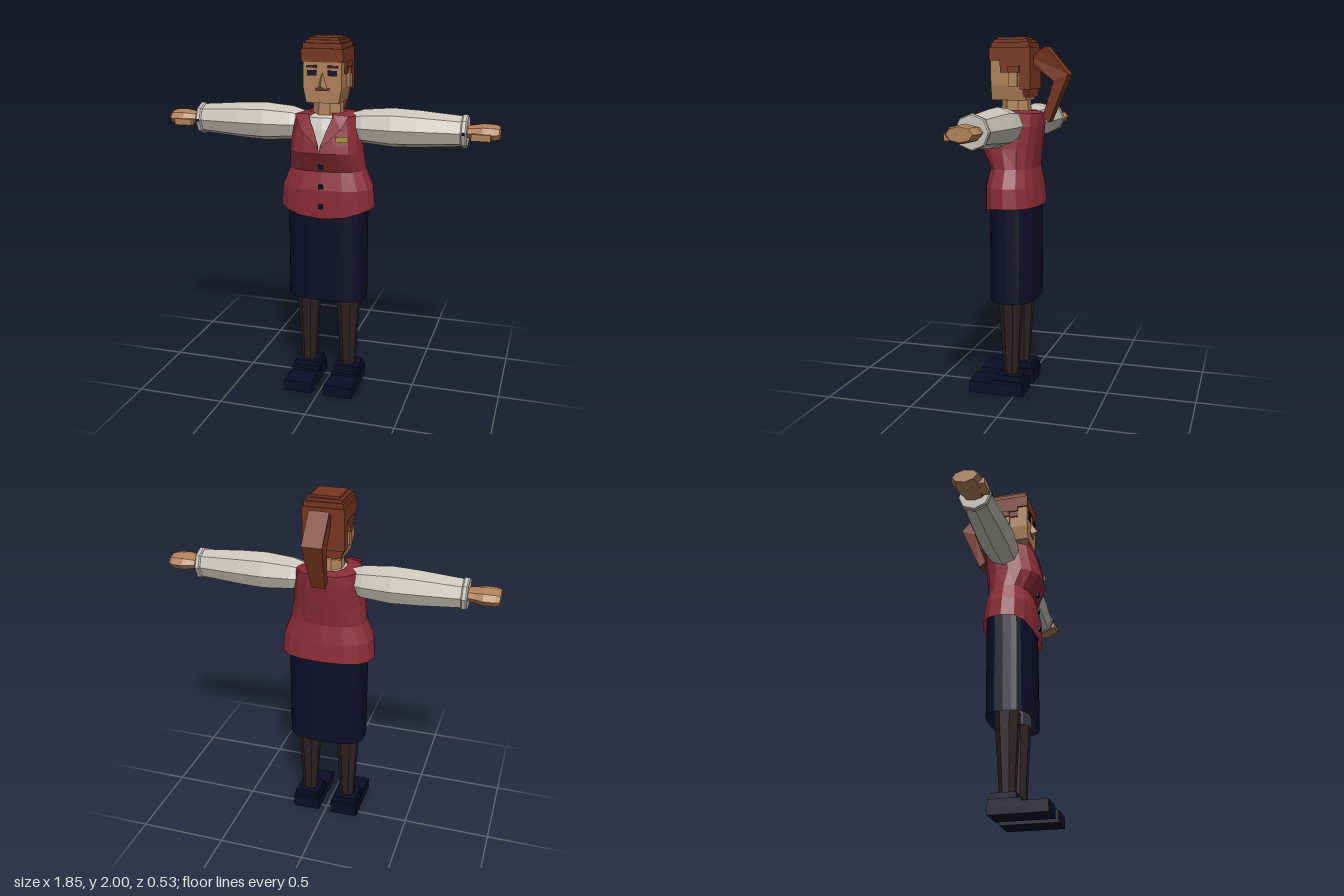
import * as THREE from 'three';

const mat = (name, color, side = THREE.FrontSide) => {
  const m = new THREE.MeshStandardMaterial({ color, side });
  m.name = name;
  return m;
};

export function createModel() {
  const model = new THREE.Group();
  model.name = 'woman';
  const D = THREE.DoubleSide;
  const red = mat('vest red', 0x8a2c36, D), navy = mat('navy', 0x0c0d26, D);
  const white = mat('shirt white', 0xc9c5bb, D), skin = mat('skin', 0xb08259);
  const brown = mat('hair auburn', 0x783620), dark = mat('stocking brown', 0x2c2121);
  const gold = mat('badge gold', 0x998220), lip = mat('lip', 0x7d3a2c);

  // Helpers
  const add = (name, geo, material, parent = model) => {
    const g = geo.index ? geo.toNonIndexed() : geo;
    g.computeVertexNormals(); // one normal per facet
    const mesh = new THREE.Mesh(g, material);
    mesh.name = name;
    parent.add(mesh);
    return mesh;
  };
  // box given by its limits; taper scales the bottom in x
  const box = (name, [x0, x1], [y0, y1], [z0, z1], material, parent, taper = 1) => {
    const g = new THREE.BoxGeometry(x1 - x0, y1 - y0, z1 - z0);
    const p = g.attributes.position;
    for (let i = 0; i < p.count; i++) if (p.getY(i) < 0) p.setX(i, p.getX(i) * taper);
    g.translate((x0 + x1) / 2, (y0 + y1) / 2, (z0 + z1) / 2);
    return add(name, g, material, parent);
  };
  const lathe = (pts, sides) => new THREE.LatheGeometry(pts.map(p => new THREE.Vector2(...p)), sides);
  // superellipse cross-section point, angle measured from the front
  const section = (a, y, hw, zf, zb, n) => {
    const pw = v => Math.sign(v) * Math.abs(v) ** (2 / n);
    return new THREE.Vector3(hw * pw(Math.sin(a)), y, (zf + zb) / 2 + (zf - zb) / 2 * pw(Math.cos(a)));
  };
  const loft = rings => {
    const n = rings[0].length, idx = [];
    for (let j = 0; j < rings.length - 1; j++) for (let i = 0; i < n - 1; i++) {
      const a = j * n + i, b = a + 1, c = a + n, d = c + 1;
      idx.push(a, b, c, b, d, c);
    }
    const g = new THREE.BufferGeometry().setFromPoints(rings.flat());
    g.setIndex(idx);
    return g;
  };
  const ring = (count, fn) => Array.from({ length: count + 1 }, (_, i) => fn(i / count * Math.PI * 2));

  // Skirt, open below
  add('skirt', loft([0.54, 1.12].map(y => ring(28, a => section(a, y, 0.222, 0.165, -0.09, 3)))), navy);

  // Vest: y, half width, front z, back z, half angle of the neck opening
  const vest = [
    [1.08, 0.268, 0.19, -0.115, 0], [1.19, 0.258, 0.19, -0.103, 0],
    [1.29, 0.217, 0.168, -0.085, 0], [1.4, 0.2, 0.225, -0.1, 0],
    [1.44, 0.197, 0.218, -0.105, 0.01], [1.52, 0.187, 0.2, -0.113, 0.12],
    [1.59, 0.172, 0.19, -0.115, 0.3], [1.605, 0.1, 0.135, -0.07, 0.38],
  ];
  add('vest', loft(vest.map(([y, hw, zf, zb, gap], j) => ring(16, a => {
    const hem = j ? 0 : 0.05 * Math.max(0, Math.cos(a)) ** 3;
    return section(Math.min(Math.max(a, gap), Math.PI * 2 - gap), y - hem, hw, zf, zb, 2.5);
  }))), red);

  // Shirt seen in the neck opening
  add('shirt', loft([[1.38, 0.18, 0.2, -0.08], [1.44, 0.18, 0.195, -0.08], [1.52, 0.165, 0.175, -0.09],
    [1.58, 0.13, 0.15, -0.08], [1.598, 0.07, 0.105, -0.03]]
    .map(([y, hw, zf, zb]) => ring(16, a => section(a, y, hw, zf, zb, 2.5)))), white);

  // Buttons and badge
  for (const [y, z] of [[1.32, 0.187], [1.21, 0.187], [1.1, 0.192]])
    box('vestButton', [-0.012, 0.012], [y - 0.012, y + 0.012], [z - 0.008, z + 0.008], navy);
  const badge = add('badge', new THREE.BoxGeometry(0.07, 0.03, 0.009), gold);
  badge.position.set(0.118, 1.477, 0.196);
  badge.rotation.set(-0.15, 0.42, 0.05);

  // Head and neck
  const neck = lathe([[0, 1.54], [0.088, 1.54], [0.084, 1.61], [0.078, 1.68], [0, 1.68]], 8);
  neck.rotateY(Math.PI / 8);
  neck.translate(0, 0, 0.04);
  add('neck', neck, skin);
  box('face', [-0.106, 0.106], [1.74, 1.9], [-0.05, 0.155], skin);
  box('jaw', [-0.106, 0.106], [1.66, 1.74], [-0.04, 0.155], skin, model, 0.84);
  const nose = new THREE.BufferGeometry().setFromPoints(
    [[0, 1.82, 0.155], [-0.03, 1.725, 0.155], [0.03, 1.725, 0.155], [0, 1.755, 0.193]].map(p => new THREE.Vector3(...p)));
  nose.setIndex([0, 1, 3, 0, 3, 2, 1, 2, 3]);
  add('nose', nose, skin);
  box('mouth', [-0.04, 0.04], [1.725, 1.738], [0.153, 0.159], lip);

  // Hair cap in steps, then back of the hair
  box('hairBand', [-0.115, 0.115], [1.875, 1.945], [-0.07, 0.16], brown);
  box('hairUpper', [-0.107, 0.107], [1.945, 1.972], [-0.063, 0.152], brown);
  box('hairCrown', [-0.096, 0.096], [1.972, 1.988], [-0.052, 0.141], brown);
  box('hairTop', [-0.08, 0.08], [1.988, 2], [-0.036, 0.125], brown);
  box('hairBack', [-0.115, 0.115], [1.72, 1.875], [-0.07, -0.012], brown);
  box('hairNape', [-0.108, 0.108], [1.675, 1.72], [-0.06, -0.025], brown, model, 0.85);

  // Ponytail: side outline, pinched at its root and tip
  const outline = [[0.05, 1.89], [0.065, 1.85], [0.185, 1.765], [0.12, 1.57], [0.158, 1.54], [0.267, 1.8], [0.14, 1.95]];
  const tail = new THREE.ExtrudeGeometry(new THREE.Shape(outline.map(p => new THREE.Vector2(...p))),
    { depth: 0.11, bevelEnabled: false });
  tail.rotateY(Math.PI / 2);
  tail.translate(-0.055, 0, 0);
  const tp = tail.attributes.position;
  for (let i = 0; i < tp.count; i++)
    if (tp.getY(i) < 1.6 || tp.getZ(i) > -0.1) tp.setX(i, tp.getX(i) * 0.7);
  add('ponytail', tail, brown);

  // Paired parts, mirrored
  for (const s of [1, -1]) {
    const side = new THREE.Group();
    side.name = s > 0 ? 'leftSide' : 'rightSide';
    side.scale.x = s;
    model.add(side);

    // Eye, brow, ear and sideburn
    box('eye', [0.03, 0.082], [1.804, 1.832], [0.153, 0.16], navy, side);
    box('brow', [0.028, 0.086], [1.845, 1.858], [0.153, 0.161], dark, side);
    box('ear', [0.1, 0.122], [1.735, 1.83], [0, 0.05], skin, side);
    box('sideburn', [0.1, 0.114], [1.81, 1.875], [0.03, 0.1], brown, side);
    box('hairOverEar', [0.1, 0.13], [1.81, 1.845], [-0.012, 0.05], brown, side);
    box('hairSide', [0.1, 0.12], [1.845, 1.875], [-0.012, 0.1], brown, side);

    // Lapel
    const lapel = new THREE.BufferGeometry().setFromPoints([[0.068, 1.605, 0.178], [0.004, 1.425, 0.23],
      [0.115, 1.53, 0.196], [0.15, 1.6, 0.165]].map(p => new THREE.Vector3(...p)));
    lapel.setIndex([0, 1, 2, 0, 2, 3]);
    add('lapel', lapel, red, side);

    // Arm parts lie along x
    const along = (name, pts, material, sy = 1, sz = 1) => {
      const g = lathe(pts, 8);
      g.rotateZ(-Math.PI / 2);
      g.scale(1, sy, sz);
      g.translate(0, 1.527, 0.033);
      return add(name, g, material, side);
    };
    along('sleeve', [[0, 0.13], [0.07, 0.13], [0.092, 0.2], [0.106, 0.36], [0.1, 0.5], [0.081, 0.74], [0, 0.74]], white);
    along('cuff', [[0, 0.728], [0.084, 0.728], [0.09, 0.735], [0.09, 0.753], [0.084, 0.76], [0, 0.76]], white);
    box('cuffButton', [0.737, 0.751], [1.52, 1.534], [0.118, 0.127], navy, side);
    along('hand', [[0, 0.75], [0.7, 0.75], [0.8, 0.79], [1, 0.84], [0.97, 0.9], [0.8, 0.925], [0, 0.925]], skin, 0.046, 0.082);
    const thumb = box('thumb', [0.785, 0.885], [1.495, 1.53], [0.085, 0.125], skin, side);
    thumb.name = 'thumb';

    // Leg and shoe
    const leg = lathe([[0, 0.1], [0.044, 0.1], [0.055, 0.3], [0.072, 0.56], [0, 0.56]], 8);
    leg.rotateY(Math.PI / 8);
    leg.translate(0.118, 0, 0.037);
    add('leg', leg, dark, side);
    box('shoeSole', [0.038, 0.2], [0, 0.065], [-0.05, 0.268], navy, side);
    box('shoeHeel', [0.04, 0.198], [0.06, 0.082], [-0.048, 0.13], navy, side);
    box('shoeAnkle', [0.05, 0.188], [0.08, 0.115], [-0.035, 0.1], navy, side);
  }
  return model;
}
